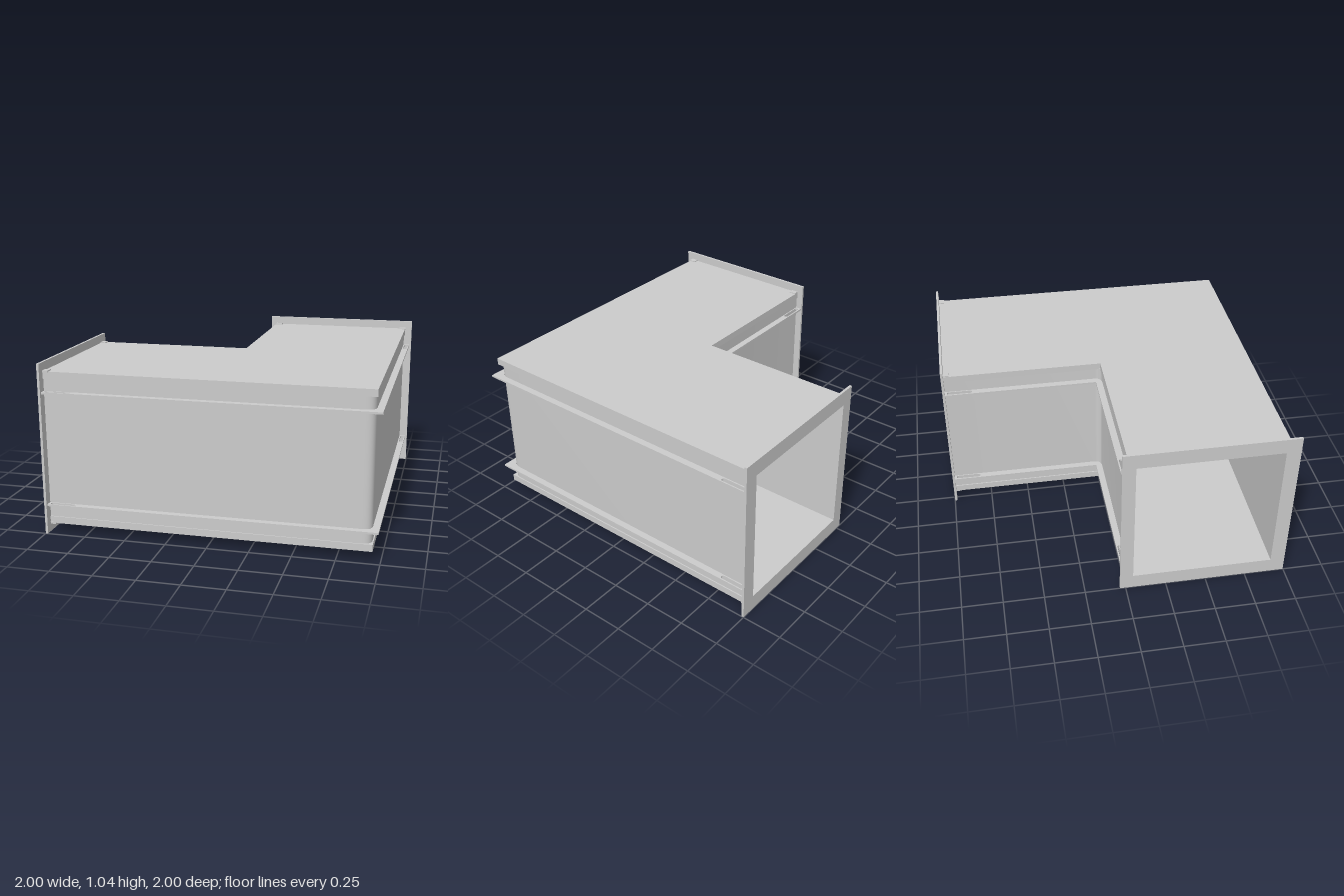
import * as THREE from 'three';
import { toCreasedNormals } from 'three/addons/utils/BufferGeometryUtils.js';

const END = -0.985;              // where both legs meet their flanges
const MID = 0.52;                // mid height
const OUT = 0.945, IN = 0.01;    // outside faces of the outer and inner walls
const WALL = 0.035;

export function createModel() {
  const group = new THREE.Group();
  const material = new THREE.MeshStandardMaterial({ color: 0xcccccc, side: THREE.DoubleSide });

  const add = (name, geometry) => {
    const mesh = new THREE.Mesh(geometry, material);
    mesh.name = name;
    group.add(mesh);
    return mesh;
  };

  // L-shaped strip in plan (x, z) between offsets a and b; the corner at a may be rounded
  const bandShape = (a, b, r = 0) => {
    const s = new THREE.Shape();
    s.moveTo(END, a);
    s.lineTo(a - r, a);
    if (r) s.quadraticCurveTo(a, a, a, a - r);
    else s.lineTo(a, a);
    s.lineTo(a, END);
    s.lineTo(b, END);
    s.lineTo(b, b);
    s.lineTo(END, b);
    s.closePath();
    return s;
  };

  // Extrude a plan shape between two heights
  const slab = (shape, y0, y1) => {
    const g = new THREE.ExtrudeGeometry(shape, { depth: y1 - y0, bevelEnabled: false, curveSegments: 10 });
    g.rotateX(Math.PI / 2).translate(0, y1, 0);
    return toCreasedNormals(g, 0.5);
  };

  // Long rounded slot from u0 to u1 along a leg; swap puts it on the other leg
  const slot = (centre, swap) => {
    const r = 0.013, u0 = -0.972 + r, u1 = -0.815 - r;
    const pts = [];
    for (let i = 0; i <= 16; i++) {
      const t = Math.PI / 2 + (i % 17) * Math.PI / 8;
      const u = (i < 8 ? u0 : u1) + r * Math.cos(t);
      const v = centre + r * Math.sin(t);
      if (i < 16) pts.push(swap ? new THREE.Vector2(v, u) : new THREE.Vector2(u, v));
    }
    return new THREE.Path(pts);
  };

  // Duct walls with rounded bends
  add('outerWall', slab(bandShape(OUT, OUT - WALL, 0.06), 0.09, 0.95));
  add('innerWall', slab(bandShape(IN, IN + WALL, 0.05), 0.09, 0.95));

  // Top and bottom panels, each slightly wider than the walls
  const panel = bandShape(0.952, 0.003);
  add('topPanel', slab(panel, 0.945, 0.987));
  add('bottomPanel', slab(panel, 0.053, 0.095));

  // Slotted rails along both walls, above and below
  for (const [name, a, b, c] of [['outerRail', 0.985, OUT - 0.01, 0.965], ['innerRail', -0.03, IN + 0.01, -0.009]]) {
    const shape = bandShape(a, b);
    shape.holes.push(slot(c, false), slot(c, true));
    for (const y of [MID - 0.344, MID + 0.344]) add(name, slab(shape, y - 0.006, y + 0.006));
  }

  // Square end flanges with the duct opening
  const frame = new THREE.Shape([
    new THREE.Vector2(-0.035, 0), new THREE.Vector2(0.998, 0),
    new THREE.Vector2(0.998, 1.04), new THREE.Vector2(-0.035, 1.04),
  ]);
  const x0 = IN + WALL, x1 = OUT - WALL;
  frame.holes.push(new THREE.Path([
    new THREE.Vector2(x0, 0.095), new THREE.Vector2(x0, 0.945),
    new THREE.Vector2(x1, 0.945), new THREE.Vector2(x1, 0.095),
  ]));
  const flange = new THREE.ExtrudeGeometry(frame, { depth: 0.015, bevelEnabled: false });
  add('backFlange', flange.clone().translate(0, 0, -1));
  add('sideFlange', flange.clone().translate(0, 0, 0.985).rotateY(-Math.PI / 2));

  // Small clips on the panel edges beside the flanges
  for (const y of [0.053, 0.987]) {
    for (const c of [0.028, 0.932]) {
      add('endClip', new THREE.BoxGeometry(0.045, 0.012, 0.035)).position.set(c, y, -0.968);
      add('endClip', new THREE.BoxGeometry(0.035, 0.012, 0.045)).position.set(-0.968, y, c);
    }
  }

  return group;
}
